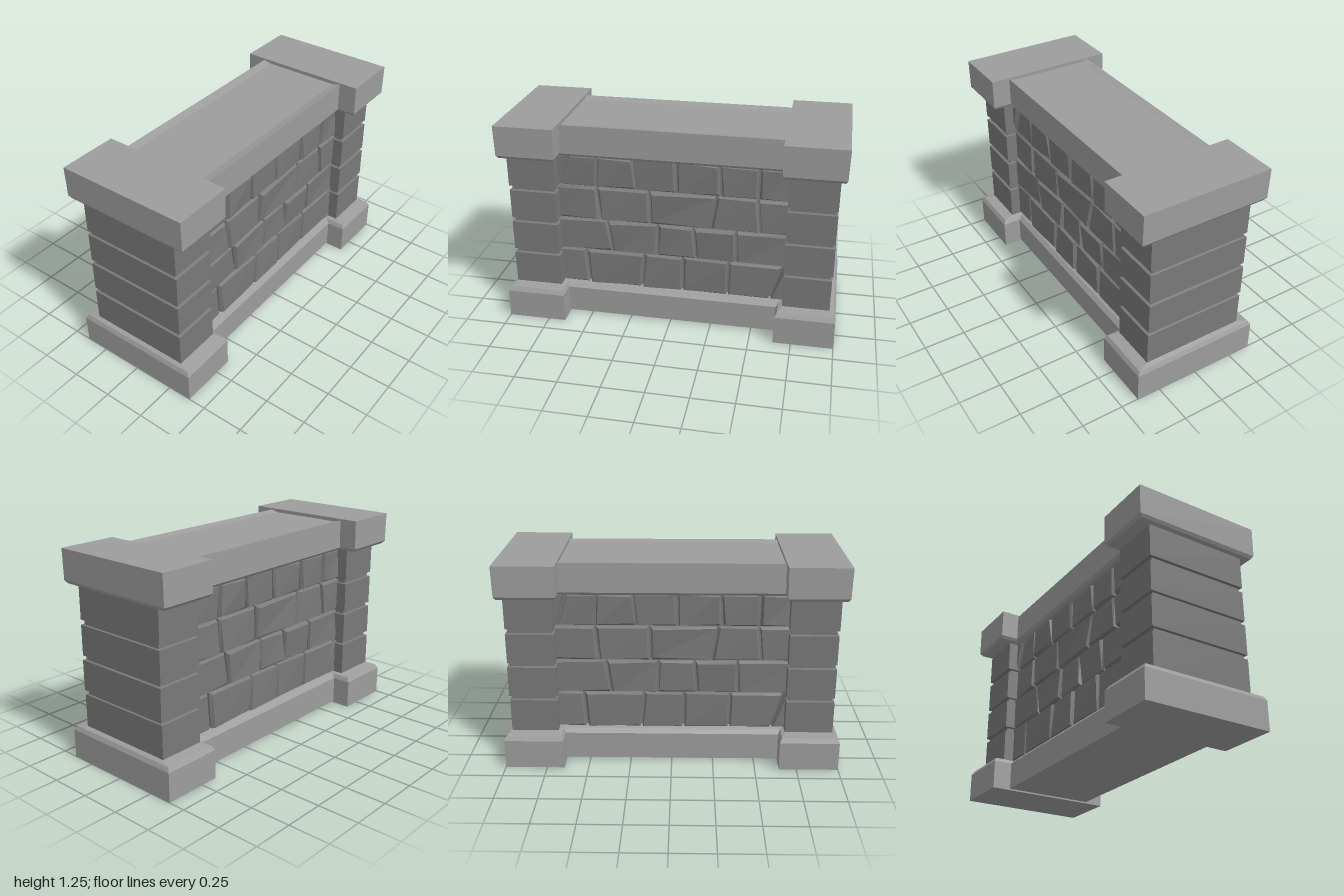
import * as THREE from 'three';

const trimMat = new THREE.MeshStandardMaterial({ color: 0x9d9d9d, flatShading: true });
const brickMat = new THREE.MeshStandardMaterial({ color: 0x797979, flatShading: true });

let seed = 7;
const rand = () => ((seed = (seed * 16807) % 2147483647) / 2147483647);
const jitter = (a) => (rand() - 0.5) * 2 * a;

function mesh(name, geometry, material) {
  const g = geometry.toNonIndexed();
  g.computeVertexNormals();
  const m = new THREE.Mesh(g, material);
  m.name = name;
  return m;
}

// Block stacked from rectangular rings [y, halfX, halfZ], bottom to top
function stackedBlock(rings) {
  const n = rings.length - 1;
  const g = new THREE.BoxGeometry(1, 1, 1, 1, n, 1);
  const p = g.attributes.position;
  for (let i = 0; i < p.count; i++) {
    const [y, hx, hz] = rings[Math.round((p.getY(i) + 0.5) * n)];
    p.setXYZ(i, Math.sign(p.getX(i)) * hx, y, Math.sign(p.getZ(i)) * hz);
  }
  return g;
}

// Wall brick with slanted sides [bottom x, top x], a chipped rim and an uneven face
function wallBrick(left, right, y0, y1) {
  const depths = [0.17, 0.235, 0.25];
  const corners = [0, 1, 2, 3].map(() => ({
    z: jitter(0.008), insetX: 0.004 + 0.012 * rand(), insetY: 0.004 + 0.012 * rand(),
  }));
  const g = new THREE.BoxGeometry(1, 1, 1, 1, 1, 2);
  const p = g.attributes.position;
  for (let i = 0; i < p.count; i++) {
    const r = p.getX(i) > 0 ? 1 : 0;
    const t = p.getY(i) > 0 ? 1 : 0;
    const k = Math.round((p.getZ(i) + 0.5) * 2);
    const c = corners[r * 2 + t];
    const rim = k === 2 ? 1 : 0;
    const x = (r ? right : left)[t] + (r ? -1 : 1) * (0.006 + rim * c.insetX);
    const y = (t ? y1 : y0) + (t ? -1 : 1) * rim * c.insetY;
    p.setXYZ(i, x, y, depths[k] + rim * c.z);
  }
  return g;
}

// Brick courses: bottom, top, then joints as [bottom x, top x]
const courses = [
  { y: [0.205, 0.43], joints: [[-0.515, -0.53], [-0.185, -0.165], [0.07, 0.07], [0.345, 0.35], [0.6, 0.67]] },
  { y: [0.436, 0.637], joints: [[-0.365, -0.39], [-0.085, -0.08], [0.15, 0.135], [0.395, 0.39]] },
  { y: [0.644, 0.852], joints: [[-0.43, -0.45], [-0.125, -0.13], [0.235, 0.27], [0.53, 0.51]] },
  { y: [0.859, 1.052], joints: [[-0.67, -0.62], [-0.45, -0.44], [-0.21, -0.225], [0.035, 0.03], [0.295, 0.285], [0.51, 0.515]] },
];

function createWallFace() {
  const face = new THREE.Group();
  face.name = 'wallFace';
  for (const { y, joints } of courses) {
    const edges = [[-0.72, -0.72], ...joints, [0.72, 0.72]];
    for (let i = 0; i + 1 < edges.length; i++)
      face.add(mesh('wallBrick', wallBrick(edges[i], edges[i + 1], y[0], y[1]), brickMat));
  }
  return face;
}

function createPillar() {
  const pillar = new THREE.Group();
  pillar.name = 'pillar';
  // Base and cap with worn, chamfered edges
  pillar.add(mesh('pillarBase', stackedBlock([
    [0, 0.1775, 0.395], [0.175, 0.1775, 0.395], [0.2, 0.165, 0.38], [0.21, 0.14, 0.315]]), trimMat));
  pillar.add(mesh('pillarCap', stackedBlock([
    [1.047, 0.14, 0.315], [1.057, 0.163, 0.38], [1.075, 0.174, 0.395], [1.255, 0.1775, 0.395]]), trimMat));
  // Recessed core seen in the joints
  pillar.add(mesh('pillarCore', stackedBlock([[0.19, 0.13, 0.298], [1.06, 0.13, 0.298]]), brickMat));
  // Four large stones
  for (const [y0, y1] of [[0.2, 0.41], [0.433, 0.62], [0.642, 0.828], [0.853, 1.055]]) {
    const w = 0.142 + jitter(0.002);
    pillar.add(mesh('pillarStone', stackedBlock([
      [y0 - 0.002, w - 0.01, 0.3], [y0 + 0.003, w, 0.315],
      [y1 - 0.002, w, 0.315], [y1 + 0.002, w - 0.01, 0.3]]), brickMat));
  }
  return pillar;
}

export function createModel() {
  seed = 7;
  const model = new THREE.Group();
  model.name = 'stoneWall';

  // Pillars at both ends
  for (const side of [1, -1]) {
    const pillar = createPillar();
    pillar.position.x = side * 0.8225;
    if (side < 0) pillar.rotation.y = Math.PI;
    model.add(pillar);
  }

  // Plinth, coping with a slightly dished top, and mortar between the pillars
  model.add(mesh('wallBase', stackedBlock([
    [0.01, 0.7, 0.28], [0.175, 0.7, 0.28], [0.2, 0.7, 0.258], [0.21, 0.7, 0.23]]), trimMat));
  model.add(mesh('wallCoping', stackedBlock([
    [1.043, 0.7, 0.235], [1.053, 0.7, 0.265], [1.07, 0.7, 0.28], [1.245, 0.7, 0.28], [1.233, 0.7, 0.23]]), trimMat));
  model.add(mesh('mortarCore', stackedBlock([[0.19, 0.7, 0.215], [1.06, 0.7, 0.215]]), brickMat));

  // The same brickwork on front and back
  const front = createWallFace();
  const back = front.clone();
  back.rotation.y = Math.PI;
  model.add(front, back);
  return model;
}
